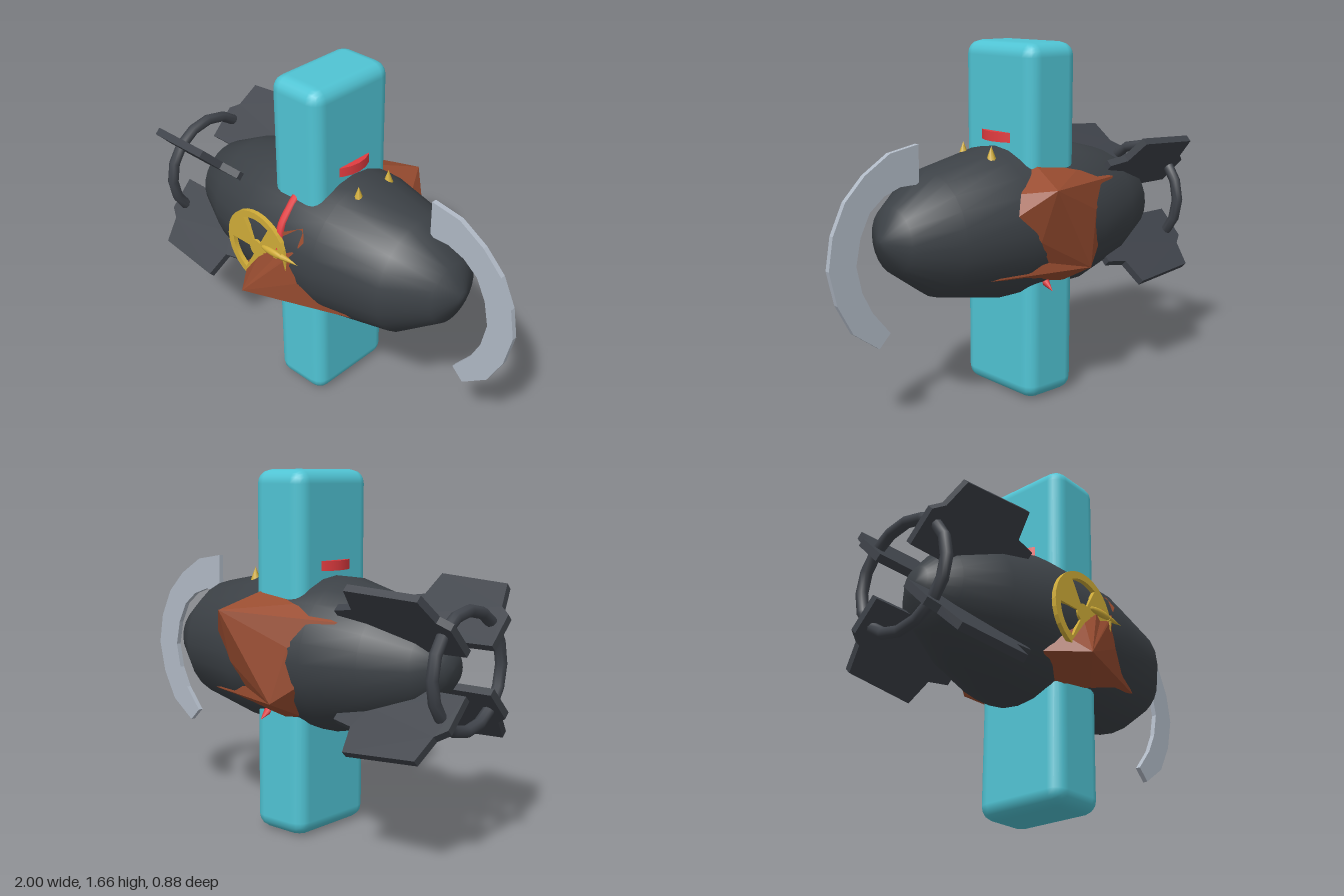
import * as THREE from 'three';
import { RoundedBoxGeometry } from 'three/addons/geometries/RoundedBoxGeometry.js';

const CY = 0.835; // height of the hull axis

// hull profile: [x, radius]
const HULL = [[-0.87, 0], [-0.865, 0.07], [-0.77, 0.185], [-0.57, 0.285], [-0.31, 0.353], [-0.08, 0.358],
  [0.14, 0.354], [0.475, 0.287], [0.667, 0.15], [0.725, 0.03], [0.728, 0]];

function hullRadius(x) {
  for (let i = 1; i < HULL.length; i++) {
    const [x0, r0] = HULL[i - 1], [x1, r1] = HULL[i];
    if (x <= x1) return r0 + (r1 - r0) * (x - x0) / (x1 - x0);
  }
  return 0;
}

// point on the hull skin at x, y on the front (+1) or back (-1)
function onHull([x, y], side) {
  const r = hullRadius(x) * 1.005;
  return [x, y, side * Math.sqrt(Math.max(0, r * r - (y - CY) ** 2))];
}

function plate(points, depth, holes = []) {
  const shape = new THREE.Shape(points.map(p => new THREE.Vector2(...p)));
  shape.holes.push(...holes);
  return new THREE.ExtrudeGeometry(shape, { depth, bevelEnabled: false, curveSegments: 32 })
    .translate(0, 0, -depth / 2);
}

// triangles joining each apex to a strip of rim points
function fans(list) {
  const v = [];
  for (const [apex, rim] of list) {
    for (let i = 0; i + 1 < rim.length; i++) v.push(...apex, ...rim[i], ...rim[i + 1]);
  }
  const g = new THREE.BufferGeometry();
  g.setAttribute('position', new THREE.Float32BufferAttribute(v, 3));
  g.computeVertexNormals();
  return g;
}

export function createModel() {
  const model = new THREE.Group();
  const mat = (name, color, extra = {}) => {
    const m = new THREE.MeshStandardMaterial({ color, ...extra });
    m.name = name;
    return m;
  };
  const charcoal = mat('charcoal', 0x3c4146);
  const slate = mat('slate', 0x3f434a);
  const teal = mat('teal', 0x50c4d4);
  const rust = mat('rust', 0x984c30, { side: THREE.DoubleSide });
  const yellow = mat('yellow', 0xd0ac38);
  const red = mat('red', 0xe23c40);
  const steel = mat('steel', 0xb0b9c5);

  const add = (name, geometry, material, x = 0, y = 0, z = 0) => {
    const mesh = new THREE.Mesh(geometry, material);
    mesh.name = name;
    mesh.position.set(x, y, z);
    model.add(mesh);
    return mesh;
  };

  // hull, turned around the x axis
  const profile = HULL.map(([x, r]) => new THREE.Vector2(r, x));
  add('hull', new THREE.LatheGeometry(profile, 24).rotateZ(-Math.PI / 2), charcoal, 0, CY, 0);

  // upright block through the hull
  add('block', new RoundedBoxGeometry(0.295, 1.665, 0.475, 2, 0.065), teal, -0.0725, 0.8325, -0.005);

  // red collar around the block
  add('collar', new THREE.CylinderGeometry(0.178, 0.178, 0.045, 24), red, -0.0725, 1.237, -0.005);

  // red pipe down the front and its tip at the back
  const path = new THREE.CatmullRomCurve3([
    new THREE.Vector3(-0.07, 1.13, 0.2), new THREE.Vector3(-0.07, 1.07, 0.26),
    new THREE.Vector3(-0.07, 0.99, 0.32), new THREE.Vector3(-0.06, 0.89, 0.345)]);
  add('pipe', new THREE.TubeGeometry(path, 12, 0.02, 8), red);
  add('pipeTip', new THREE.ConeGeometry(0.025, 0.08, 8).rotateX(-2.2), red, -0.02, 0.56, -0.26);

  // curved blade ahead of the nose
  const blade = [[0.53, 1.245], [0.68, 1.22], [0.81, 1.14], [0.91, 1.04], [0.975, 0.905], [1, 0.76],
    [0.965, 0.605], [0.89, 0.465], [0.76, 0.37], [0.70, 0.43], [0.79, 0.54], [0.84, 0.64], [0.865, 0.76],
    [0.84, 0.88], [0.79, 0.98], [0.715, 1.04], [0.63, 1.07], [0.53, 1.07]];
  add('blade', plate(blade, 0.025), steel, 0, 0, -0.01);

  // four diagonal tail fins: x along the hull, second value outwards
  const fin = [[-0.92, 0.465], [-0.565, 0.495], [-0.535, 0.37], [-0.43, 0.35], [-0.43, 0.32], [-0.58, 0.26],
    [-0.8, 0.13], [-1, 0.13], [-1, 0.3], [-0.95, 0.34]];
  for (let i = 0; i < 4; i++) {
    add('tailFin', plate(fin, 0.036), slate, 0, CY, 0).rotation.x = Math.PI / 4 + i * Math.PI / 2;
  }
  add('tailRing', new THREE.TorusGeometry(0.255, 0.027, 8, 16).rotateY(Math.PI / 2), slate, -0.938, CY, 0);

  // horns on top
  for (const z of [0.09, -0.107]) {
    add('horn', new THREE.ConeGeometry(0.026, 0.07, 8), yellow, 0.19, 1.178, z);
  }

  // round badge with three wedge openings
  const wedges = [60, 180, 300].map(deg => {
    const a = deg * Math.PI / 180, b = a + Math.PI / 3, hole = new THREE.Path();
    hole.absarc(0, 0, 0.16, a, b, false);
    hole.absarc(0, 0, 0.045, b, a, true);
    hole.closePath();
    return hole;
  });
  const disc = Array.from({ length: 32 }, (_, i) => {
    const a = i / 16 * Math.PI;
    return [0.195 * Math.cos(a), 0.195 * Math.sin(a)];
  });
  add('badge', plate(disc, 0.022, wedges), yellow, -0.197, 0.832, 0.351);

  // slim propeller charm beside the badge
  add('charmBar', new THREE.SphereGeometry(1, 12, 8).scale(0.075, 0.018, 0.014), yellow, -0.085, 0.872, 0.368);
  add('charmPoint', new THREE.ConeGeometry(0.016, 0.1, 8).rotateZ(-Math.PI / 2), yellow, 0.025, 0.872, 0.363);
  add('charmStem', new THREE.ConeGeometry(0.013, 0.08, 8).rotateX(Math.PI), yellow, -0.01, 0.83, 0.36);

  // front rust patch, peaked over the hull
  const frontRim = [[-0.36, 0.62], [-0.30, 0.7], [-0.19, 0.8], [-0.12, 0.86], [-0.05, 0.98], [0.05, 1.03],
    [0.08, 0.98], [0.01, 0.88], [0.05, 0.75], [0.30, 0.635], [-0.01, 0.57], [-0.16, 0.52], [-0.36, 0.62]]
    .map(p => onHull(p, 1));
  add('frontPatch', fans([[[-0.235, 0.61, 0.435], frontRim]]), rust);

  // back rust patch with two peaks
  const upper = [[-0.24, 0.9], [-0.45, 1.02], [-0.2, 1.08], [0.02, 1.13], [0.18, 1.02], [0.22, 0.93], [0.11, 0.8]]
    .map(p => onHull(p, -1));
  const lower = [[0.11, 0.8], [0.04, 0.69], [0.32, 0.64], [0.04, 0.61], [-0.12, 0.53], [-0.22, 0.58],
    [-0.27, 0.72], [-0.24, 0.9]].map(p => onHull(p, -1));
  const peakA = [0.095, 1.045, -0.44], peakB = [-0.17, 0.645, -0.39];
  add('backPatch', fans([[peakA, upper], [peakB, lower],
    [peakA, [upper[6], peakB]], [peakA, [peakB, upper[0]]]]), rust);

  return model;
}
